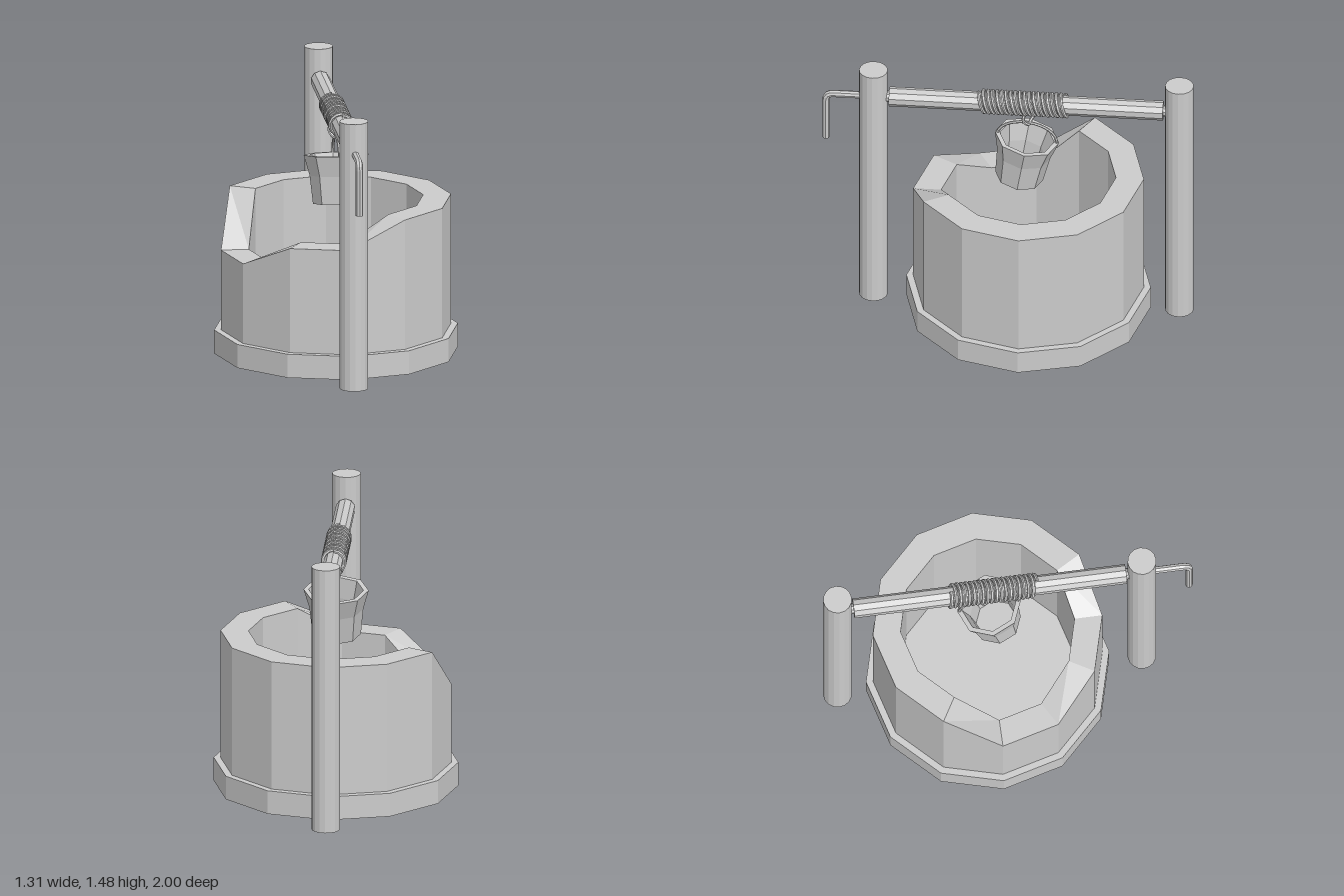
import * as THREE from 'three';

const material = new THREE.MeshStandardMaterial({ color: 0xcccccc, flatShading: true });
const thin = new THREE.MeshStandardMaterial({ color: 0xcccccc, flatShading: true, side: THREE.DoubleSide });
const WELL_Z = -0.11, BAR_Y = 1.305;
const v = (x, y, z) => new THREE.Vector3(x, y, z);

function add(parent, name, geometry, mat = material) {
  const mesh = new THREE.Mesh(geometry, mat);
  mesh.name = name;
  parent.add(mesh);
  return mesh;
}

// Cylinder lying along z between two z values
function zRod(radius, z0, z1, sides) {
  return new THREE.CylinderGeometry(radius, radius, Math.abs(z1 - z0), sides)
    .rotateX(Math.PI / 2).translate(0, BAR_Y, (z0 + z1) / 2);
}

// Twelve-sided ring wall whose rim height changes at each corner
function brokenWall() {
  const n = 12, top = 0.845;
  const heights = { 3: 0.705, 4: 0.705, 5: 0.57, 6: 0.57 };
  const positions = [], index = [];
  for (let i = 0; i < n; i++) {
    const a = (i / n) * Math.PI * 2, h = heights[i] ?? top;
    for (const [r, y] of [[0.62, 0.1], [0.62, h], [0.47, h], [0.47, 0.1]]) {
      positions.push(Math.cos(a) * r, y, Math.sin(a) * r + WELL_Z);
    }
    const p = i * 4, q = ((i + 1) % n) * 4;
    for (let k = 0; k < 3; k++) {
      index.push(p + k, p + k + 1, q + k, p + k + 1, q + k + 1, q + k);
    }
  }
  const g = new THREE.BufferGeometry();
  g.setAttribute('position', new THREE.Float32BufferAttribute(positions, 3));
  g.setIndex(index);
  const flat = g.toNonIndexed();
  flat.computeVertexNormals();
  return flat;
}

// Rope wound round the bar, each turn leaning slightly
class Coil extends THREE.Curve {
  getPoint(t, target = new THREE.Vector3()) {
    const a = t * 19 * Math.PI * 2, r = 0.06;
    return target.set(Math.sin(a) * r, BAR_Y + Math.cos(a) * r, 0.145 - 0.465 * t + 0.014 * Math.cos(a));
  }
}

export function createModel() {
  const model = new THREE.Group();
  model.name = 'well';

  // Stone well
  add(model, 'wellBase', new THREE.CylinderGeometry(0.657, 0.657, 0.13, 12).translate(0, 0.065, WELL_Z));
  add(model, 'wellWall', brokenWall());

  // Upright posts
  for (const [name, z] of [['frontPost', 0.724], ['backPost', -0.921]]) {
    add(model, name, new THREE.CylinderGeometry(0.077, 0.077, 1.475, 16).translate(0, 1.475 / 2, z));
  }

  // Winding bar on a thinner axle
  add(model, 'windingBar', zRod(0.053, 0.638, -0.835, 10));
  add(model, 'axle', zRod(0.03, 0.72, -0.92, 10));

  // Crank handle: out of the front post, then bent down
  const crankPath = new THREE.CurvePath();
  crankPath.add(new THREE.LineCurve3(v(0, BAR_Y, 0.72), v(0, BAR_Y, 0.94)));
  crankPath.add(new THREE.QuadraticBezierCurve3(v(0, BAR_Y, 0.94), v(0, BAR_Y, 0.979), v(0, BAR_Y - 0.04, 0.979)));
  crankPath.add(new THREE.LineCurve3(v(0, BAR_Y - 0.04, 0.979), v(0, 1.018, 0.979)));
  add(model, 'crank', new THREE.TubeGeometry(crankPath, 32, 0.02, 8));
  add(model, 'crankEnd', new THREE.CylinderGeometry(0.02, 0.02, 0.01, 8).translate(0, 1.022, 0.979));

  // Rope
  add(model, 'ropeCoil', new THREE.TubeGeometry(new Coil(), 19 * 14, 0.01, 6));
  const loop = new THREE.CatmullRomCurve3([
    v(0.02, 1.255, -0.09), v(0.035, 1.215, -0.085), v(0.02, 1.182, -0.105), v(0, 1.172, -0.115),
    v(-0.02, 1.182, -0.12), v(-0.035, 1.215, -0.14), v(-0.02, 1.255, -0.13),
  ]);
  add(model, 'ropeLoop', new THREE.TubeGeometry(loop, 24, 0.009, 6));

  // Tilted bucket, origin at the centre of its rim
  const bucket = new THREE.Group();
  bucket.name = 'bucket';
  bucket.position.set(0, 1.083, -0.102);
  bucket.rotation.x = -0.163;
  model.add(bucket);
  const profile = [
    [0, -0.262], [0.13, -0.262], [0.145, -0.11], [0.175, 0],
    [0.148, 0], [0.122, -0.11], [0.11, -0.24], [0, -0.24],
  ].map(([r, y]) => new THREE.Vector2(r, y));
  add(bucket, 'bucketBody', new THREE.LatheGeometry(profile, 8), thin);

  // Arched bail
  const arch = new THREE.CatmullRomCurve3(Array.from({ length: 9 }, (_, i) => {
    const a = (i / 8) * Math.PI;
    return v(0, Math.sin(a) * 0.108 - 0.01, Math.cos(a) * 0.163);
  }));
  add(bucket, 'bucketHandle', new THREE.TubeGeometry(arch, 16, 0.008, 6));

  return model;
}
